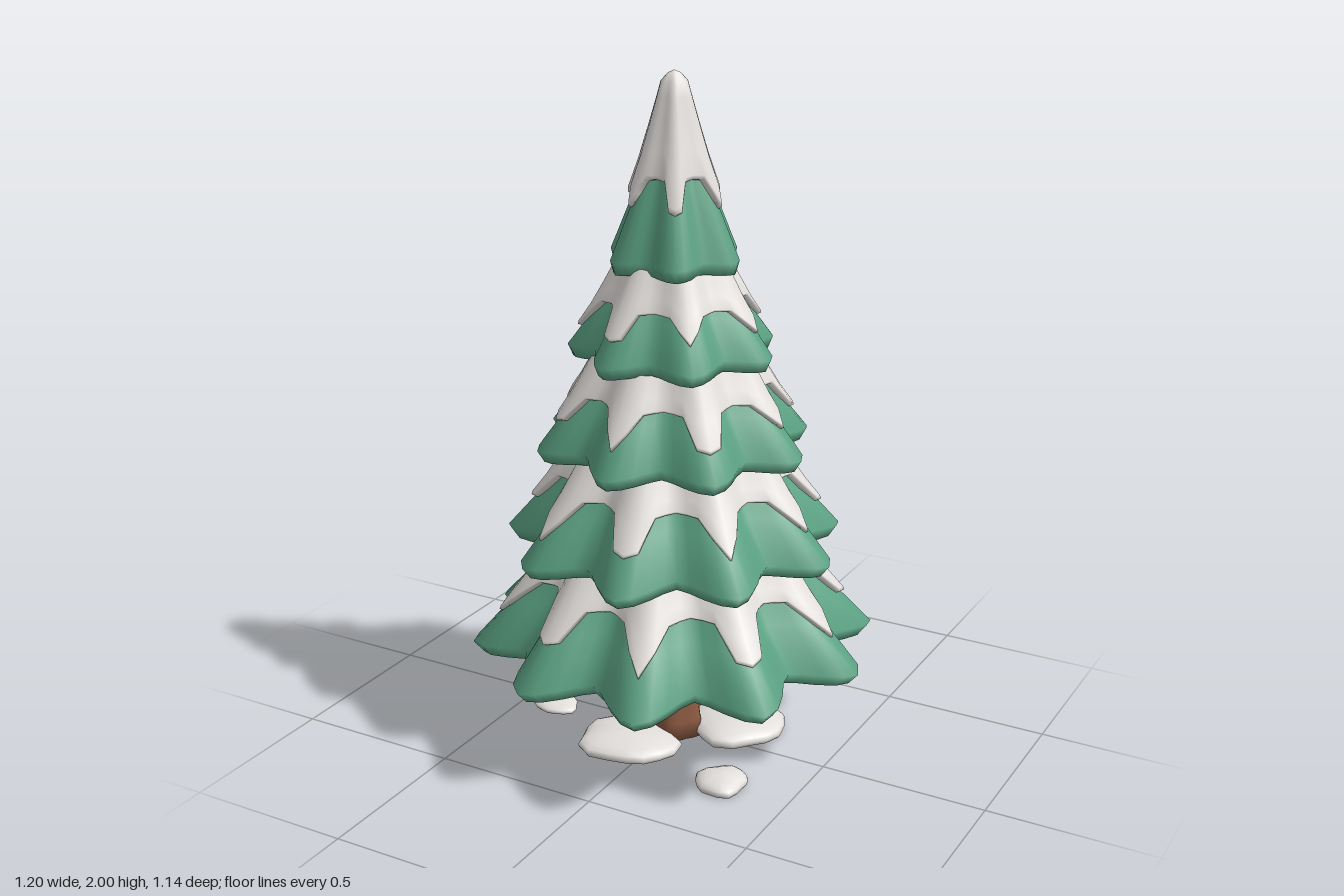
import * as THREE from 'three';

const mat = (name, color) => {
  const m = new THREE.MeshStandardMaterial({ color });
  m.name = name;
  return m;
};

const SAMPLES = 8; // segments around one branch point

// Joins closed rings of points, listed from the bottom inside to the top
function loft(rings) {
  const n = rings[0].length, pos = [], idx = [];
  for (const ring of rings) for (const p of ring) pos.push(...p);
  for (let i = 0; i < rings.length - 1; i++) {
    for (let j = 0; j < n; j++) {
      const a = i * n + j, b = i * n + (j + 1) % n;
      idx.push(a, b, a + n, b, b + n, a + n);
    }
  }
  const g = new THREE.BufferGeometry();
  g.setAttribute('position', new THREE.Float32BufferAttribute(pos, 3));
  g.setIndex(idx);
  g.computeVertexNormals();
  return g;
}

// Calls fn(t, k) around a ring: t is 0 at a point and 1 at a valley, k the point's number
function ring(points, fn) {
  const out = [];
  for (let j = 0; j < points * SAMPLES; j++) {
    const k = Math.round(j / SAMPLES);
    const t = Math.abs(j / SAMPLES - k) * 2;
    const [r, y] = fn(t, k % points);
    const a = j / (points * SAMPLES) * Math.PI * 2;
    out.push([Math.cos(a) * r, y, -Math.sin(a) * r]);
  }
  return out;
}

// Radius factor of the star outline
const star = (t, valley) => 1 - (1 - valley) * (1 - Math.cos(Math.PI * t)) / 2;

// Rise of the skirt between two points
const lift = (tier, t) => 0.05 * tier.R * t;

// Point on the outer face of a tier, s running from the rim to the top
function outer(tier, s, t, offset = 0) {
  const r = tier.R + (tier.top - tier.R) * Math.pow(s, 0.82);
  return [
    Math.max(0, r * star(t, 0.79 + 0.06 * s) + offset),
    tier.y + 0.035 + s * tier.H + lift(tier, t) * (1 - s),
  ];
}

function skirtGeometry(tier) {
  const { points, R, y } = tier;
  const under = (f, dy, v) => ring(points, t => [R * f * star(t, v), y + dy + lift(tier, t) * f]);
  const rings = [
    ring(points, () => [0.02, y + 0.17]),
    under(0.35, 0.12, 0.95),
    under(0.58, 0.045, 0.9),
    under(0.76, 0.005, 0.83),
    under(0.95, 0.001, 0.79),
  ];
  for (const s of [0, 0.4, 0.7, 1]) rings.push(ring(points, t => outer(tier, s, t)));
  return loft(rings);
}

function snowGeometry(tier) {
  const { points, H, low, high } = tier;
  // Lower edge: pointed and square drips take turns, with level runs between
  const edge = (t, k) => {
    const h = THREE.MathUtils.clamp(k % 2 ? (t - 0.23) / 0.27 : t / 0.5, 0, 1);
    const drop = 0.012 * Math.sin(k * 2.4 + points);
    return (low - 0.035 + (high - low) * h + drop * (1 - h)) / H;
  };
  const at = (q, offset) => ring(points, (t, k) => {
    const e = edge(t, k);
    return outer(tier, e + (1 - e) * q, t, offset);
  });
  // A rolled lip, then the cover up to the top
  const rings = [at(0.03, -0.012), at(0, 0.006), at(0.015, 0.018), at(0.06, 0.023)];
  for (const q of [0.3, 0.6, 0.85, 1]) rings.push(at(q, 0.02));
  if (tier.tip) {
    rings.push(ring(points, () => [0.018, 1.992]));
    rings.push(ring(points, () => [0, 2]));
  }
  return loft(rings);
}

// Flat-bottomed lump of snow with an uneven outline
function lumpGeometry(rx, h, rz, seed) {
  const g = new THREE.SphereGeometry(1, 16, 10);
  const p = g.attributes.position;
  for (let i = 0; i < p.count; i++) {
    const x = p.getX(i), z = p.getZ(i), a = Math.atan2(z, x);
    const w = 1 + 0.07 * Math.sin(3 * a + seed) + 0.05 * Math.sin(5 * a + seed * 2);
    const y = Math.max(p.getY(i), -0.35) + 0.35;
    p.setXYZ(i, x * rx * w, y / 1.35 * h, z * rz * w);
  }
  g.computeVertexNormals();
  return g;
}

export function createModel() {
  const green = mat('needle green', 0x5ca384);
  const white = mat('snow white', 0xe3dfdc);
  const brown = mat('bark brown', 0x8c5a41);
  const model = new THREE.Group();
  model.name = 'snowyTree';
  const add = (name, geometry, material) => {
    const mesh = new THREE.Mesh(geometry, material);
    mesh.name = name;
    model.add(mesh);
    return mesh;
  };

  // Branch tiers with their snow, bottom to top
  const tiers = [
    { points: 10, R: 0.6, y: 0.29, H: 0.33, top: 0.34, low: 0.14, high: 0.235 },
    { points: 9, R: 0.5, y: 0.605, H: 0.32, top: 0.265, low: 0.12, high: 0.212 },
    { points: 8, R: 0.405, y: 0.905, H: 0.3, top: 0.205, low: 0.11, high: 0.188 },
    { points: 7, R: 0.305, y: 1.185, H: 0.275, top: 0.133, low: 0.1, high: 0.168 },
    { points: 6, R: 0.2, y: 1.45, H: 0.485, top: 0.02, low: 0.185, high: 0.258, tip: true },
  ];
  tiers.forEach((tier, i) => {
    add(`branchTier${i + 1}`, skirtGeometry(tier), green);
    add(tier.tip ? 'snowCap' : `snowLayer${i + 1}`, snowGeometry(tier), white);
  });

  // Trunk, flaring into root lobes
  const trunk = [[0, 0], [0.09, 0], [0.08, 0.05], [0.07, 0.15], [0.06, 0.32], [0.05, 0.6]];
  add('trunk', loft(trunk.map(([r, y]) => {
    const lobe = 0.14 * Math.max(0, 1 - y / 0.3);
    return ring(5, t => [r * (1 + lobe * (0.5 - t)), y]);
  })), brown);

  // Snow lumps on the ground: x, z, half width, height, half depth
  [
    [-0.385, 0.06, 0.07, 0.025, 0.06],
    [-0.07, 0.16, 0.155, 0.05, 0.13],
    [0.165, -0.09, 0.15, 0.055, 0.14],
    [0.285, 0.235, 0.075, 0.04, 0.08],
    [-0.16, -0.155, 0.12, 0.05, 0.105],
  ].forEach(([x, z, rx, h, rz], i) => {
    add(`groundSnow${i + 1}`, lumpGeometry(rx, h, rz, i * 1.7), white).position.set(x, 0, z);
  });
  return model;
}
